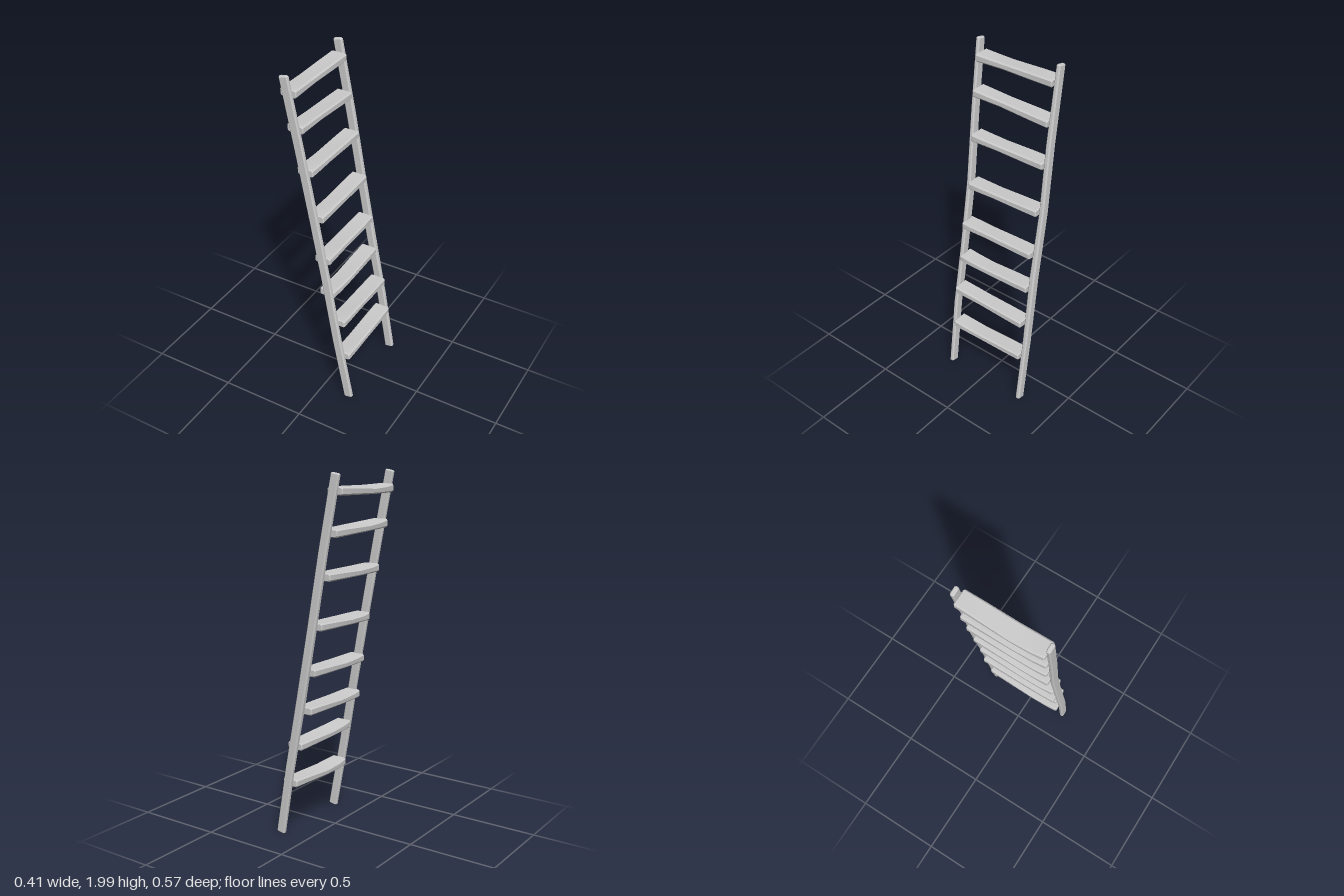
import * as THREE from 'three';
import { toCreasedNormals } from 'three/addons/utils/BufferGeometryUtils.js';

const BEVEL = 0.008;
const material = new THREE.MeshStandardMaterial({ color: 0xcccccc });

// Rectangle with cut corners, w along u and h along v, around centre c
function ring(c, u, v, w, h, inset = 0) {
  const a = w / 2 - inset, b = h / 2 - inset;
  const k = Math.min(BEVEL, h * 0.25) * (inset ? 0.7 : 1);
  return [[a, k - b], [a, b - k], [a - k, b], [k - a, b],
    [-a, b - k], [-a, k - b], [k - a, -b], [a - k, -b]]
    .map(([s, t]) => c.clone().addScaledVector(u, s).addScaledVector(v, t));
}

// Skin over a row of stations, with bevelled and capped ends
function plank(name, stations, axis) {
  const make = (s, shift, inset) =>
    ring(s.c.clone().addScaledVector(axis, shift), s.u, s.v, s.w, s.h, inset);
  const first = stations[0], last = stations[stations.length - 1];
  const rings = [
    make(first, 0, BEVEL * 0.6),
    make(first, BEVEL * 0.7, 0),
    ...stations.slice(1, -1).map((s) => make(s, 0, 0)),
    make(last, -BEVEL * 0.7, 0),
    make(last, 0, BEVEL * 0.6),
  ];
  const pos = [];
  const tri = (...pts) => pts.forEach((p) => pos.push(p.x, p.y, p.z));
  const n = rings[0].length;
  for (let i = 0; i < rings.length - 1; i++) {
    const a = rings[i], b = rings[i + 1];
    for (let j = 0; j < n; j++) {
      const k = (j + 1) % n;
      tri(a[j], a[k], b[k]);
      tri(a[j], b[k], b[j]);
    }
  }
  const start = rings[0], end = rings[rings.length - 1];
  for (let j = 1; j < n - 1; j++) {
    tri(start[0], start[j + 1], start[j]);
    tri(end[0], end[j], end[j + 1]);
  }
  const geometry = new THREE.BufferGeometry();
  geometry.setAttribute('position', new THREE.Float32BufferAttribute(pos, 3));
  const mesh = new THREE.Mesh(toCreasedNormals(geometry, 0.5), material);
  mesh.name = name;
  return mesh;
}

// Leaning side rail, points are [x, y, z, thickness]
function rail(name, points) {
  const axis = new THREE.Vector3(-0.172, 0.985, 0);
  const u = new THREE.Vector3(0.985, 0.172, 0);
  const v = new THREE.Vector3(0, 0, -1);
  return plank(name, points.map(([x, y, z, h]) =>
    ({ c: new THREE.Vector3(x, y, z), u, v, w: 0.051, h })), axis);
}

// Hand-cut tread running along z, worn down towards the middle
function tread(index, [x, yFront, yBack, zBack, zFront, bulge, drop]) {
  const profile = [ // t along z, width, height, tilt, wear
    [0, 0.094, 0.043, 0, 0],
    [0.25, 0.097, 0.041, 0.04, 0.3],
    [0.62, 0.1, 0.036, 0.11, 1],
    [0.85, 0.099, 0.04, 0.07, 0.6],
    [1, 0.093, 0.045, 0, 0],
  ];
  const stations = profile.map(([t, w, h, tilt, wear]) => ({
    c: new THREE.Vector3(
      x + bulge * wear,
      THREE.MathUtils.lerp(yBack, yFront, t) - drop * wear,
      THREE.MathUtils.lerp(zBack, zFront, t)),
    u: new THREE.Vector3(Math.cos(tilt), Math.sin(tilt), 0),
    v: new THREE.Vector3(-Math.sin(tilt), Math.cos(tilt), 0),
    w, h,
  }));
  return plank('tread' + (index + 1), stations, new THREE.Vector3(0, 0, 1));
}

export function createModel() {
  const ladder = new THREE.Group();
  ladder.name = 'ladder';

  // Side rails, slightly crooked
  ladder.add(rail('frontRail', [
    [0.175, 0.01, 0.234, 0.025], [0.105, 0.42, 0.246, 0.026],
    [0.037, 0.8, 0.242, 0.025], [-0.035, 1.2, 0.245, 0.027],
    [-0.1, 1.6, 0.262, 0.024], [-0.169, 1.995, 0.276, 0.023],
  ]));
  ladder.add(rail('backRail', [
    [0.175, 0.01, -0.273, 0.026], [0.11, 0.4, -0.27, 0.028],
    [0.04, 0.8, -0.257, 0.034], [-0.033, 1.2, -0.255, 0.029],
    [-0.093, 1.58, -0.243, 0.029], [-0.169, 1.995, -0.235, 0.024],
  ]));

  // Treads: x, y at front, y at back, z back, z front, bulge in x, drop in y
  [
    [0.125, 0.3, 0.307, -0.255, 0.225, -0.002, 0.006],
    [0.097, 0.535, 0.522, -0.245, 0.232, -0.002, 0.001],
    [0.038, 0.727, 0.73, -0.235, 0.24, 0.004, 0.004],
    [0.012, 0.942, 0.946, -0.235, 0.242, -0.002, 0.001],
    [-0.033, 1.19, 1.2, -0.236, 0.23, 0, 0.001],
    [-0.082, 1.465, 1.465, -0.232, 0.245, 0, 0.001],
    [-0.123, 1.71, 1.692, -0.226, 0.262, -0.002, 0],
    [-0.155, 1.9, 1.904, -0.225, 0.265, -0.004, 0.003],
  ].forEach((data, i) => ladder.add(tread(i, data)));

  return ladder;
}
